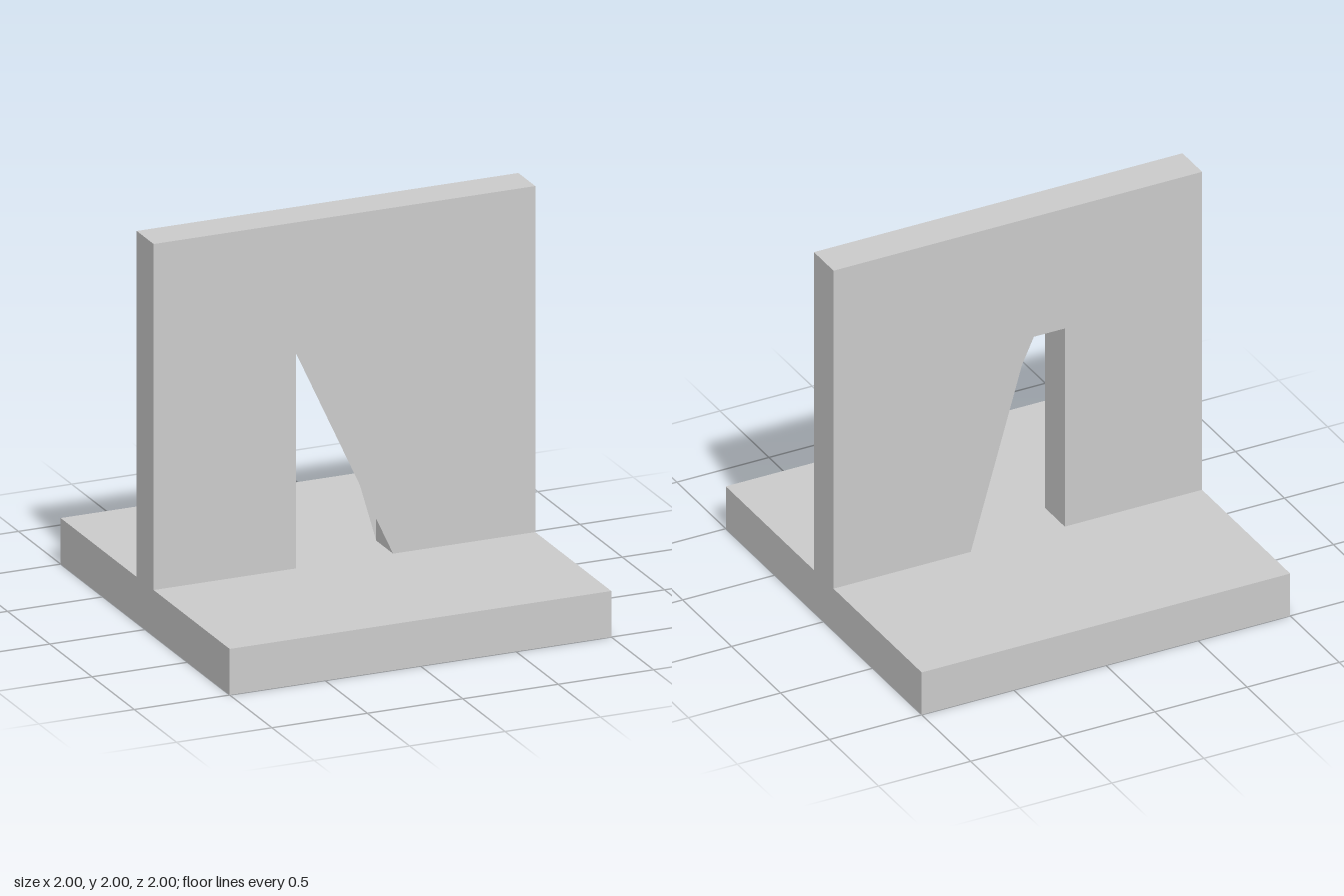
import * as THREE from 'three';

const BASE = 0.235;   // top of the base slab
const HALF = 0.1;     // half the wall thickness
const DOOR = 0.255;   // half the doorway width
const LINTEL = 1.335; // top of the doorway

function polygon(points) {
  return new THREE.Shape(points.map(([x, y]) => new THREE.Vector2(x, y)));
}

export function createModel() {
  const group = new THREE.Group();
  const solid = new THREE.MeshStandardMaterial({ color: 0xcccccc, flatShading: true });
  const thin = new THREE.MeshStandardMaterial({ color: 0xcccccc, flatShading: true, side: THREE.DoubleSide });

  function add(name, geometry, material, y, z) {
    const mesh = new THREE.Mesh(geometry, material);
    mesh.name = name;
    mesh.position.set(0, y, z);
    group.add(mesh);
  }

  // Square base slab
  add('base', new THREE.BoxGeometry(2, BASE, 2), solid, BASE / 2, 0);

  // Upright wall with a rectangular doorway down to the base
  const wall = polygon([
    [-1, BASE], [-DOOR, BASE], [-DOOR, LINTEL], [DOOR, LINTEL],
    [DOOR, BASE], [1, BASE], [1, 2], [-1, 2],
  ]);
  add('wall', new THREE.ExtrudeGeometry(wall, { depth: 2 * HALF, bevelEnabled: false }), solid, 0, -HALF);

  // Paper-thin triangular panels partly closing the doorway, wider at the front
  for (const [name, topX, z] of [['frontPanel', -DOOR, HALF], ['backPanel', -0.063, -HALF]]) {
    const panel = polygon([[DOOR, BASE], [DOOR, LINTEL], [topX, LINTEL]]);
    add(name, new THREE.ShapeGeometry(panel), thin, 0, z);
  }

  return group;
}
